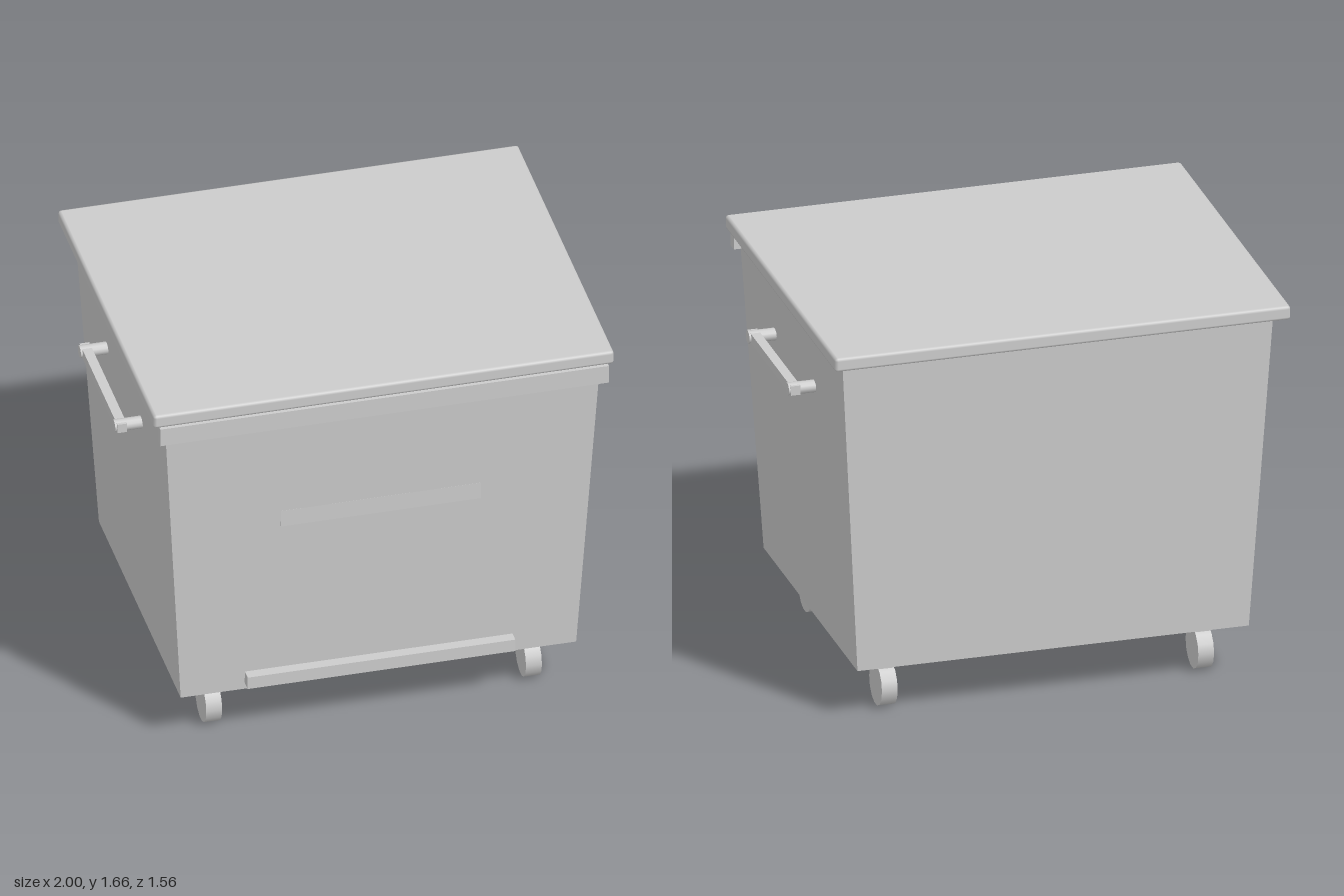
import * as THREE from 'three';
import { RoundedBoxGeometry } from 'three/addons/geometries/RoundedBoxGeometry.js';

export function createModel() {
  const model = new THREE.Group();
  model.name = 'wheeledBin';
  const grey = new THREE.MeshStandardMaterial({ color: 0xcccccc });
  grey.name = 'light grey';

  const add = (name, geometry, x, y, z, parent = model) => {
    const mesh = new THREE.Mesh(geometry, grey);
    mesh.name = name;
    mesh.position.set(x, y, z);
    parent.add(mesh);
    return mesh;
  };
  // Box given by its size and centre
  const box = (name, w, h, d, x, y, z, parent) =>
    add(name, new THREE.BoxGeometry(w, h, d), x, y, z, parent);
  // Cylinder lying along x
  const axle = (name, r, length, sides, x, y, z, parent) =>
    add(name, new THREE.CylinderGeometry(r, r, length, sides).rotateZ(Math.PI / 2), x, y, z, parent);

  // Tapered container: a box whose lower corners are drawn in
  const bottom = 0.225, top = 1.605;
  const bodyGeo = new THREE.BoxGeometry(1.806, top - bottom, 1.452);
  const p = bodyGeo.attributes.position;
  for (let i = 0; i < p.count; i++) {
    if (p.getY(i) < 0) {
      p.setX(i, Math.sign(p.getX(i)) * 0.82);
      p.setZ(i, Math.sign(p.getZ(i)) * 0.66);
    }
  }
  const flatBody = bodyGeo.toNonIndexed();
  flatBody.computeVertexNormals();
  add('body', flatBody, 0, (top + bottom) / 2, 0.025);

  // Lid with chamfered edges
  add('lid', new RoundedBoxGeometry(1.91, 0.06, 1.555, 1, 0.013), 0, 1.63, 0);

  // Front details: rim under the lid, label panel and foot rail
  box('frontRim', 1.86, 0.08, 0.05, 0, 1.56, 0.76);
  box('labelPanel', 0.83, 0.075, 0.03, 0, 1.0475, 0.7115);
  box('footRail', 1.11, 0.055, 0.06, 0, 0.2825, 0.705);

  for (const side of [-1, 1]) {
    // Side handle: two round posts and a square bar
    const handle = new THREE.Group();
    handle.name = side > 0 ? 'leftHandle' : 'rightHandle';
    model.add(handle);
    for (const z of [-0.25, 0.305]) axle('handlePost', 0.026, 0.13, 12, side * 0.935, 1.322, z, handle);
    box('handleBar', 0.04, 0.04, 0.61, side * 0.972, 1.322, 0.0275, handle);

    // Casters: mounting plate, fork and wheel
    for (const z of [-0.473, 0.525]) {
      const caster = new THREE.Group();
      caster.name = z > 0 ? 'frontCaster' : 'backCaster';
      caster.position.set(side * 0.663, 0, z);
      model.add(caster);
      box('casterPlate', 0.14, 0.042, 0.137, 0, 0.206, 0, caster);
      box('casterFork', 0.06, 0.05, 0.08, 0, 0.163, 0, caster);
      axle('wheel', 0.09, 0.066, 14, 0, 0.09, 0, caster);
    }
  }
  return model;
}
